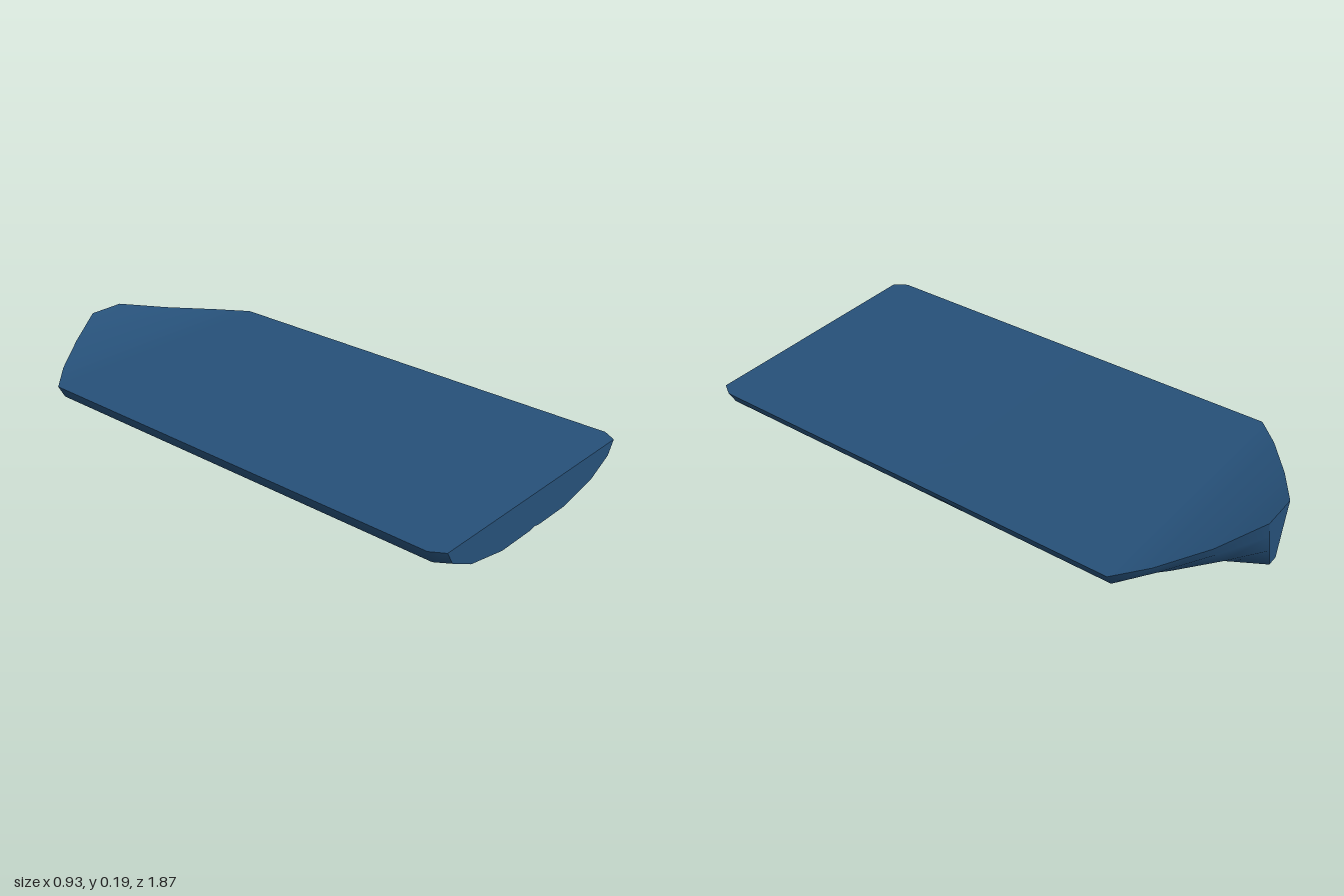
import * as THREE from 'three';

const hullBlue = new THREE.MeshStandardMaterial({ color: 0x265078 });
hullBlue.name = 'hull blue';

// Half sections from rim to keel, as [x, y]
const midSection = [[0.465, 0.13], [0.44, 0.085], [0.34, 0.04], [0.17, 0.01], [0.025, 0.01], [0, 0.015]];
const sternSection = [[0.437, 0.13], [0.41, 0.085], [0.32, 0.04], [0.165, 0.01], [0.025, 0.01], [0, 0.015]];
const bowSection = [[0.065, 0.2], [0.05, 0.14], [0.035, 0.075], [0.02, 0.01], [0.01, 0.01], [0, 0.01]];

// Blend of midship and bow sections, with the rim set to the sheer line
function bowBlend(t, rimX, rimY) {
  return midSection.map(([x, y], i) => {
    if (i === 0) return [rimX, rimY];
    const [bx, by] = bowSection[i];
    return [Math.min(THREE.MathUtils.lerp(x, bx, t), rimX * 0.96), THREE.MathUtils.lerp(y, by, t)];
  });
}

// Stations from stern to bow
const stations = [
  { z: 0.97, half: sternSection },
  { z: 0.925, half: midSection },
  { z: 0.2, half: midSection },
  { z: -0.61, half: midSection },
  { z: -0.7, half: bowBlend(0.27, 0.37, 0.142) },
  { z: -0.81, half: bowBlend(0.65, 0.22, 0.165) },
  { z: -0.902, half: bowSection },
];

// Full section, mirrored from the left rim under the keel to the right rim
const fullSection = ({ z, half }) => [
  ...half.map(([x, y]) => [x, y, z]),
  ...half.slice(0, -1).reverse().map(([x, y]) => [-x, y, z]),
];

function makeMesh(name, points, index) {
  const geometry = new THREE.BufferGeometry();
  geometry.setAttribute('position', new THREE.Float32BufferAttribute(points.flat(), 3));
  geometry.setIndex(index);
  geometry.computeVertexNormals();
  const mesh = new THREE.Mesh(geometry, hullBlue);
  mesh.name = name;
  return mesh;
}

// Skin through rows of points
function loft(name, rows) {
  const n = rows[0].length;
  const index = [];
  for (let i = 0; i < rows.length - 1; i++) {
    for (let j = 0; j < n - 1; j++) {
      const a = i * n + j;
      index.push(a, a + 1, a + n, a + 1, a + n + 1, a + n);
    }
  }
  return makeMesh(name, rows.flat(), index);
}

// Flat end closing a section
function endCap(name, section, facesFront) {
  const centre = [0, section[0][1], section[0][2]];
  const index = [];
  for (let j = 1; j < section.length; j++) {
    index.push(0, ...(facesFront ? [j + 1, j] : [j, j + 1]));
  }
  return makeMesh(name, [centre, ...section], index);
}

export function createModel() {
  const model = new THREE.Group();
  model.name = 'boatHull';
  const sections = stations.map(fullSection);

  model.add(loft('hullShell', sections));
  // Deck follows the rising sheer line
  model.add(loft('deck', sections.map((s) => [s[s.length - 1], s[0]])));
  model.add(endCap('transom', sections[0], true));
  model.add(endCap('stem', sections[sections.length - 1], false));
  return model;
}
